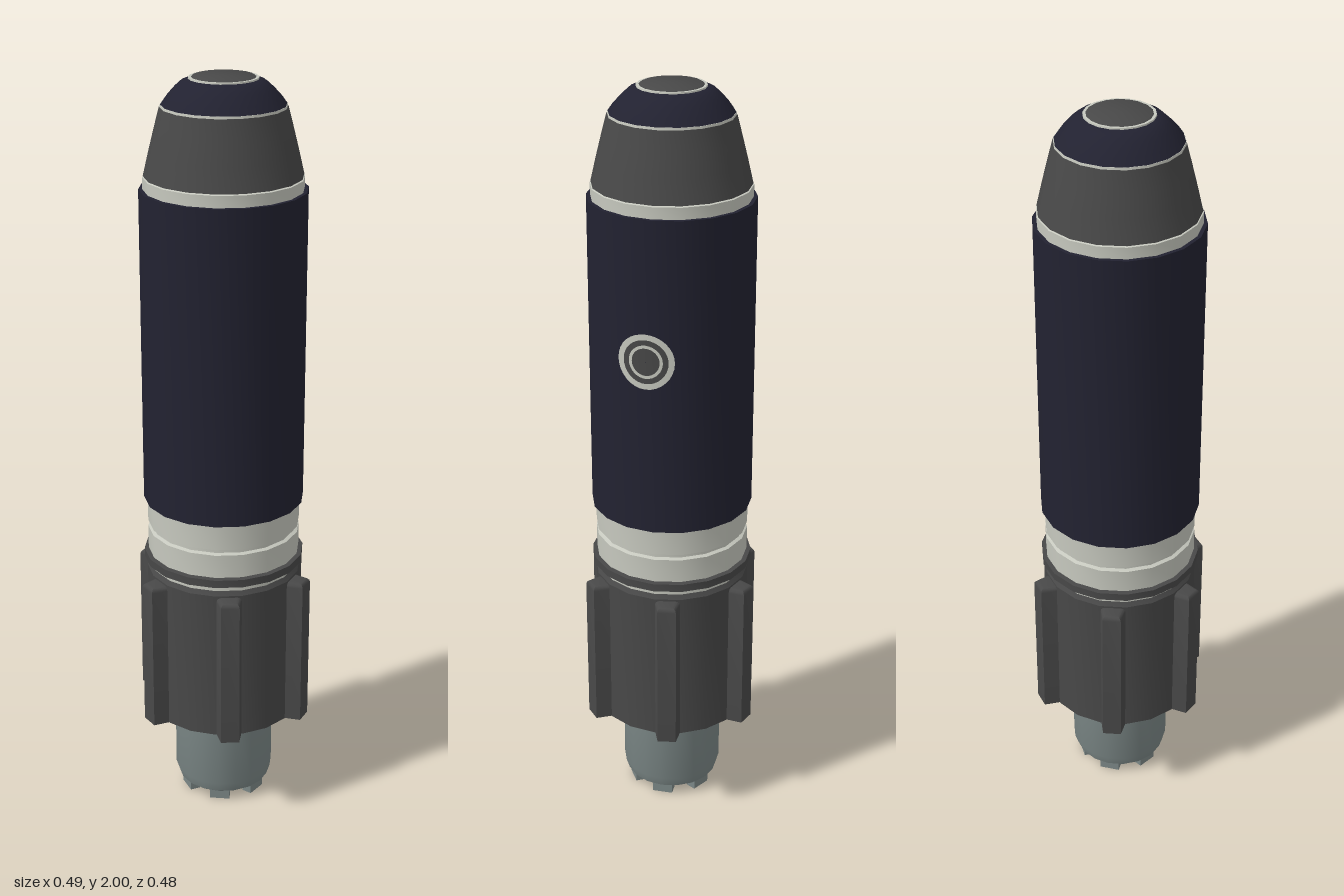
import * as THREE from 'three';
import { toCreasedNormals } from 'three/addons/utils/BufferGeometryUtils.js';

const SIDES = 18;
const material = (name, color) => {
  const m = new THREE.MeshStandardMaterial({ color });
  m.name = name;
  return m;
};

export function createModel() {
  const navy = material('navy', 0x222231);
  const charcoal = material('charcoal', 0x484848);
  const ivory = material('ivory', 0xc6c8be);
  const steel = material('steel', 0x7b8786);

  const model = new THREE.Group();
  model.name = 'handheldDevice';

  const add = (name, geometry, mat, parent = model) => {
    const mesh = new THREE.Mesh(geometry, mat);
    mesh.name = name;
    parent.add(mesh);
    return mesh;
  };

  // Turned part: profile of [radius, y] from bottom to top
  const turned = (name, profile, mat) => {
    const points = profile.map(([r, y]) => new THREE.Vector2(r, y));
    const geo = new THREE.LatheGeometry(points, SIDES, Math.PI / SIDES);
    return add(name, toCreasedNormals(geo, 0.55), mat);
  };

  // Lower tube with a rounded rim and a dark end plate
  turned('lowerTube', [[0, 0.022], [0.112, 0.022], [0.126, 0.032], [0.135, 0.06], [0.135, 0.28]], steel);
  turned('endPlate', [[0, 0.016], [0.082, 0.016], [0.082, 0.023]], charcoal);

  // Six contacts around the lower end
  const contacts = new THREE.Group();
  contacts.name = 'endContacts';
  model.add(contacts);
  for (let i = 0; i < 6; i++) {
    const a = i * Math.PI / 3;
    const c = add('contact', new THREE.BoxGeometry(0.028, 0.032, 0.055), steel, contacts);
    c.position.set(0.1 * Math.cos(a), 0.016, -0.1 * Math.sin(a));
    c.rotation.y = a;
  }

  // Grip barrel
  turned('gripBarrel', [[0.13, 0.265], [0.206, 0.265], [0.206, 0.685], [0.198, 0.697], [0.15, 0.697]], charcoal);

  // Tapered grip ribs with rounded tops and flat bottoms
  const bevel = 0.012;
  const ribShape = new THREE.Shape([
    new THREE.Vector2(0.18, -0.027), new THREE.Vector2(0.233, -0.015),
    new THREE.Vector2(0.233, 0.015), new THREE.Vector2(0.18, 0.027),
  ]);
  const ribGeo = new THREE.ExtrudeGeometry(ribShape, {
    depth: 0.403, bevelEnabled: true, bevelSize: bevel, bevelThickness: bevel, bevelSegments: 3,
  });
  ribGeo.rotateX(-Math.PI / 2);
  ribGeo.translate(0, 0.265, 0);
  const rp = ribGeo.attributes.position;
  for (let i = 0; i < rp.count; i++) rp.setY(i, Math.max(0.265, rp.getY(i)));
  const ribFinal = toCreasedNormals(ribGeo, 0.6);
  const ribs = new THREE.Group();
  ribs.name = 'gripRibs';
  model.add(ribs);
  for (let i = 0; i < 6; i++) {
    add('gripRib', ribFinal, charcoal, ribs).rotation.y = THREE.MathUtils.degToRad(10 + 60 * i);
  }

  // Collar bands between grip and sleeve
  turned('collarBase', [[0.19, 0.69], [0.198, 0.695], [0.198, 0.715], [0.19, 0.715]], ivory);
  turned('collarRing', [[0.18, 0.714], [0.214, 0.714], [0.214, 0.735], [0.18, 0.735]], charcoal);
  turned('collarBands', [
    [0.19, 0.735], [0.203, 0.738], [0.203, 0.802], [0.194, 0.806],
    [0.194, 0.814], [0.203, 0.818], [0.203, 0.895],
  ], ivory);

  // Main sleeve
  turned('sleeve', [[0.18, 0.888], [0.213, 0.888], [0.213, 1.722], [0.18, 1.722]], navy);

  // Shoulder and domed cap
  turned('shoulderRing', [[0.203, 1.72], [0.203, 1.752], [0.19, 1.756]], ivory);
  turned('shoulder', [[0.19, 1.752], [0.201, 1.755], [0.187, 1.815], [0.172, 1.875], [0.159, 1.925], [0.14, 1.925]], charcoal);
  turned('capSeam', [[0.14, 1.924], [0.158, 1.924], [0.157, 1.931], [0.14, 1.931]], ivory);
  turned('cap', [[0.14, 1.93], [0.156, 1.931], [0.144, 1.948], [0.124, 1.97], [0.106, 1.986], [0.088, 1.993], [0.07, 1.993]], navy);
  turned('buttonRing', [[0.088, 1.99], [0.087, 1.997], [0.078, 1.997]], ivory);
  turned('button', [[0.08, 1.99], [0.08, 1.997], [0.075, 2.0], [0, 2.0]], charcoal);

  // Plain round badge wrapped onto the left side of the sleeve
  const badge = new THREE.Group();
  badge.name = 'sideBadge';
  model.add(badge);
  const wrappedRing = (name, inner, outer, mat, radius) => {
    const geo = new THREE.RingGeometry(inner, outer, 32, 6);
    geo.rotateY(Math.PI / 2);
    geo.translate(0, 1.36, 0.016);
    const p = geo.attributes.position;
    for (let i = 0; i < p.count; i++) p.setX(i, Math.sqrt(radius * radius - p.getZ(i) ** 2));
    geo.computeVertexNormals();
    add(name, geo, mat, badge);
  };
  wrappedRing('badgeFace', 0.001, 0.072, charcoal, 0.2145);
  wrappedRing('badgeRim', 0.058, 0.073, ivory, 0.2155);
  wrappedRing('badgeInnerRing', 0.036, 0.044, ivory, 0.2155);

  return model;
}
